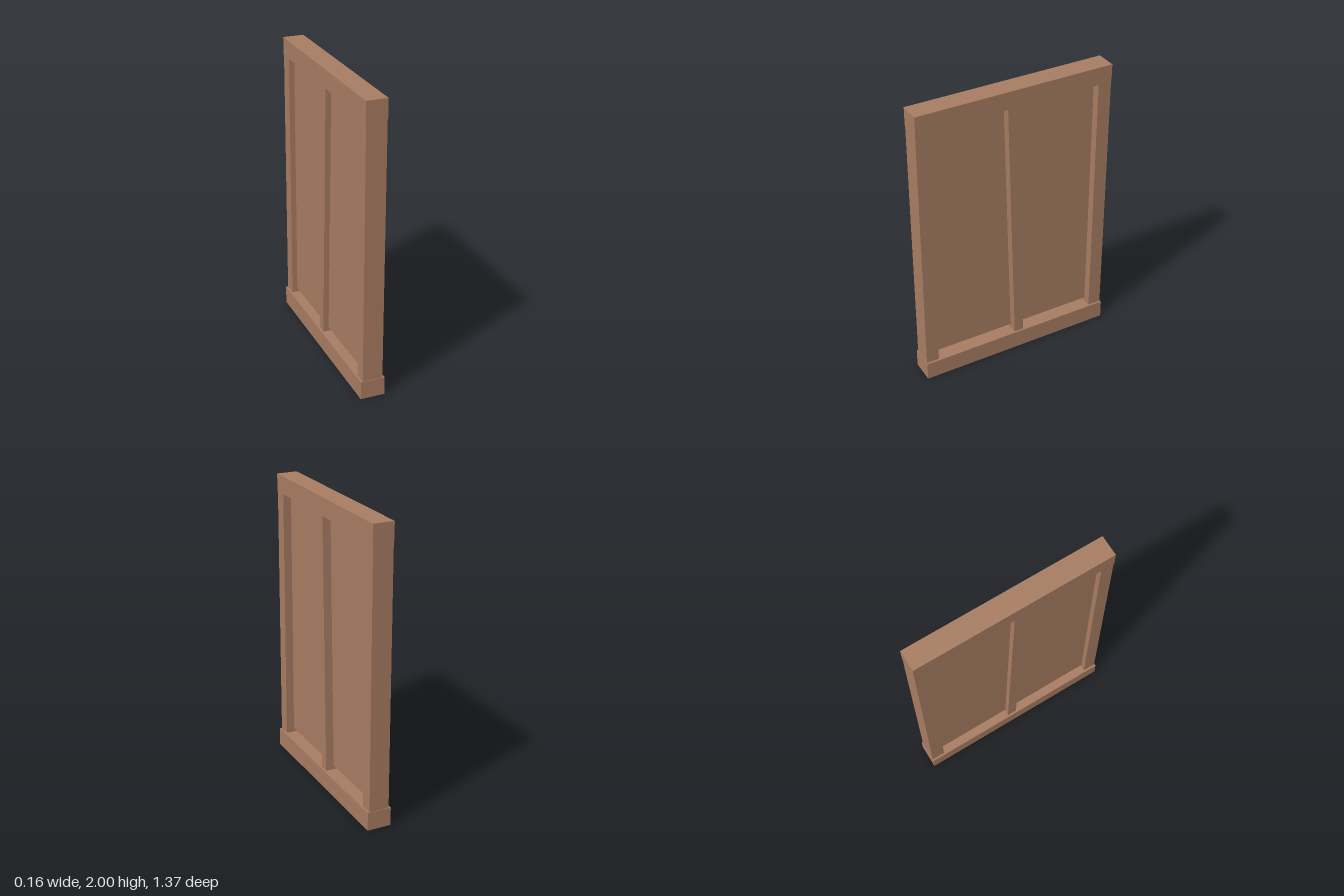
import * as THREE from 'three';

export function createModel() {
  const group = new THREE.Group();
  group.name = 'framedWallPanel';
  const wood = new THREE.MeshStandardMaterial({ color: 0xa87c62 });
  wood.name = 'brown wood';

  // Box given by its extents along each axis
  function block(name, [x0, x1], [y0, y1], [z0, z1]) {
    const geometry = new THREE.BoxGeometry(x1 - x0, y1 - y0, z1 - z0);
    geometry.translate((x0 + x1) / 2, (y0 + y1) / 2, (z0 + z1) / 2);
    const mesh = new THREE.Mesh(geometry, wood);
    mesh.name = name;
    group.add(mesh);
    return mesh;
  }

  const sillTop = 0.126, railBottom = 1.88;

  // Horizontal beams
  block('bottomSill', [-0.082, 0.082], [0, sillTop], [-0.685, 0.685]);
  block('topRail', [-0.071, 0.071], [railBottom, 2], [-0.682, 0.682]);

  // Upright posts at both ends
  block('frontPost', [-0.068, 0.068], [sillTop, railBottom], [0.593, 0.681]);
  block('backPost', [-0.068, 0.068], [sillTop, railBottom], [-0.681, -0.589]);

  // Middle post, sheared so that it leans towards the front at the top
  const middle = block('leaningMiddlePost', [-0.068, 0.068], [sillTop, railBottom], [-0.056, 0.011]);
  const p = middle.geometry.attributes.position;
  for (let i = 0; i < p.count; i++) {
    const t = (p.getY(i) - sillTop) / (railBottom - sillTop);
    p.setZ(i, p.getZ(i) + 0.049 * t);
  }
  middle.geometry.computeVertexNormals();

  // Recessed infill board, leaving a narrow gap above the sill
  block('infillBoard', [-0.03, 0.012], [0.153, railBottom], [-0.589, 0.593]);

  return group;
}
